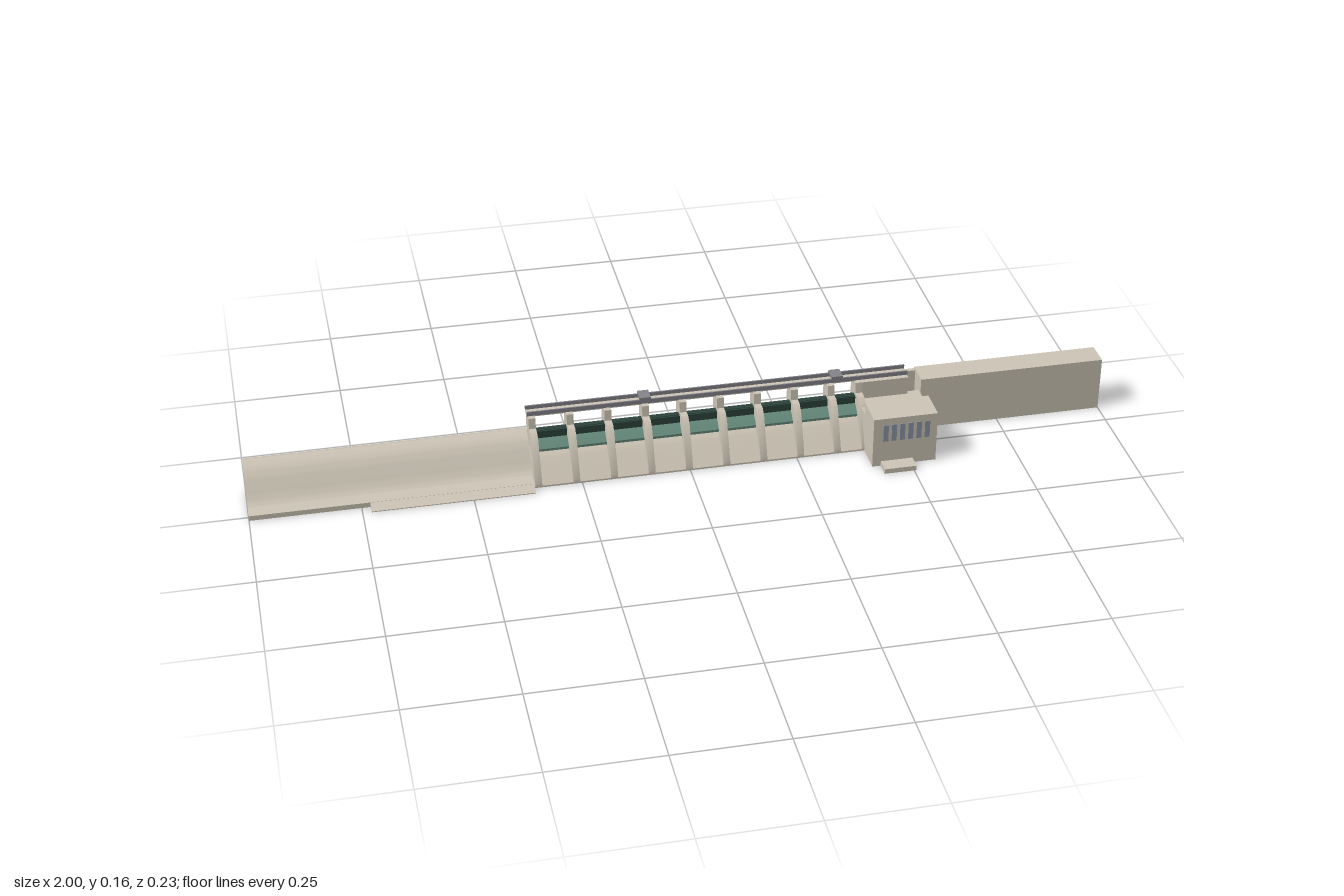
import * as THREE from 'three';
import { toCreasedNormals } from 'three/addons/utils/BufferGeometryUtils.js';

const mat = (name, color) => Object.assign(new THREE.MeshStandardMaterial({ color }), { name });

export function createModel() {
  const concrete = mat('concrete', 0xcfc7b8);
  const steel = mat('railSteel', 0x85858c);
  const green = mat('gateGreen', 0x64897b);
  const darkGreen = mat('gateDarkGreen', 0x2c443d);
  const glass = mat('windowGlass', 0x8d97a5);

  const model = new THREE.Group();
  const add = (geo, material, name) => {
    const mesh = new THREE.Mesh(geo, material);
    mesh.name = name;
    model.add(mesh);
    return mesh;
  };
  // Box given by its extents on each axis
  const box = (name, material, x0, x1, y0, y1, z0, z1) => {
    const geo = new THREE.BoxGeometry(x1 - x0, y1 - y0, z1 - z0);
    geo.translate((x0 + x1) / 2, (y0 + y1) / 2, (z0 + z1) / 2);
    return add(geo, material, name);
  };
  // Cross-section of [z, y] points extruded along x
  const section = (name, material, x0, x1, points) => {
    const shape = new THREE.Shape(points.map(([z, y]) => new THREE.Vector2(-z, y)));
    const geo = new THREE.ExtrudeGeometry(shape, { depth: x1 - x0, bevelEnabled: false });
    geo.rotateY(Math.PI / 2);
    geo.translate(x0, 0, 0);
    return add(toCreasedNormals(geo, 0.5), material, name);
  };
  // Smooth run of [z, y] points
  const smooth = (points, n) => new THREE.SplineCurve(points.map(p => new THREE.Vector2(...p)))
    .getPoints(n).map(p => [p.x, p.y]);

  // Overflow dam on the right, with a rounded crest and a flattening toe
  const ogee = smooth([[-0.107, 0.088], [-0.096, 0.095], [-0.08, 0.093], [-0.06, 0.079],
    [-0.04, 0.052], [-0.025, 0.031], [-0.01, 0.018], [0.013, 0.012]], 28);
  section('overflowDam', concrete, -1, -0.36, [[-0.107, 0], ...ogee, [0.013, 0]]);
  section('overflowApron', concrete, -0.73, -0.36, [[0.012, 0], [0.012, 0.012], [0.035, 0.002], [0.035, 0]]);

  // Gated spillway body
  const chute = smooth([[-0.088, 0.05], [-0.075, 0.062], [-0.055, 0.066], [-0.038, 0.06],
    [-0.02, 0.042], [0.013, 0.004]], 20);
  section('spillwayBody', concrete, -0.36, 0.41, [[-0.088, 0], ...chute, [0.013, 0]]);

  // Piers
  const pierShape = [[-0.1, 0], [-0.1, 0.139], [-0.06, 0.139], [-0.058, 0.113],
    [-0.04, 0.113], [-0.025, 0.1], [0.013, 0.012], [0.013, 0]];
  const pierX = [];
  for (let i = 0; i < 9; i++) pierX.push(-0.35 + i * 0.087);
  pierX.push(0.412);
  pierX.forEach(x => section('pier', concrete, x - 0.008, x + 0.008, pierShape));

  // Curved gates between the piers
  const gateBack = smooth([[-0.036, 0.064], [-0.058, 0.071], [-0.071, 0.086], [-0.069, 0.104]], 10);
  const gateFront = smooth([[-0.062, 0.104], [-0.062, 0.09], [-0.052, 0.083], [-0.036, 0.07]], 10);
  for (let i = 0; i < pierX.length - 1; i++) {
    const x0 = pierX[i] + 0.008, x1 = pierX[i + 1] - 0.008;
    section('gate', green, x0, x1, [...gateBack, ...gateFront]);
    box('gateUpperPlate', darkGreen, x0, x1, 0.085, 0.104, -0.063, -0.058);
    box('gateTopSeal', darkGreen, x0, x1, 0.1, 0.105, -0.075, -0.062);
  }

  // Service deck with crane rails
  box('deck', concrete, -0.36, 0.53, 0.137, 0.142, -0.1, -0.072);
  for (const z of [-0.1, -0.0725]) box('craneRail', steel, -0.36, 0.53, 0.141, 0.151, z, z + 0.0035);
  for (const x of [-0.088, 0.362]) box('hoist', steel, x - 0.013, x + 0.013, 0.15, 0.157, -0.101, -0.068);

  // Powerhouse: stepped block, back wall and deck support
  box('powerhouseHall', concrete, 0.41, 0.56, 0, 0.125, 0.005, 0.083);
  box('powerhouseRear', concrete, 0.41, 0.56, 0, 0.095, -0.07, 0.005);
  box('intakeWall', concrete, 0.42, 0.56, 0, 0.128, -0.115, -0.105);
  box('deckSupport', concrete, 0.42, 0.53, 0, 0.139, -0.1, -0.06);
  box('outletSlab', concrete, 0.43, 0.505, 0, 0.012, 0.083, 0.118);
  for (let i = 0; i < 6; i++) {
    const x = 0.433 + i * 0.0195;
    box('window', glass, x, x + 0.012, 0.065, 0.108, 0.082, 0.0845);
  }

  // Plain dam wing on the left
  box('damWing', concrete, 0.56, 1, 0, 0.131, -0.116, -0.056);

  return model;
}
